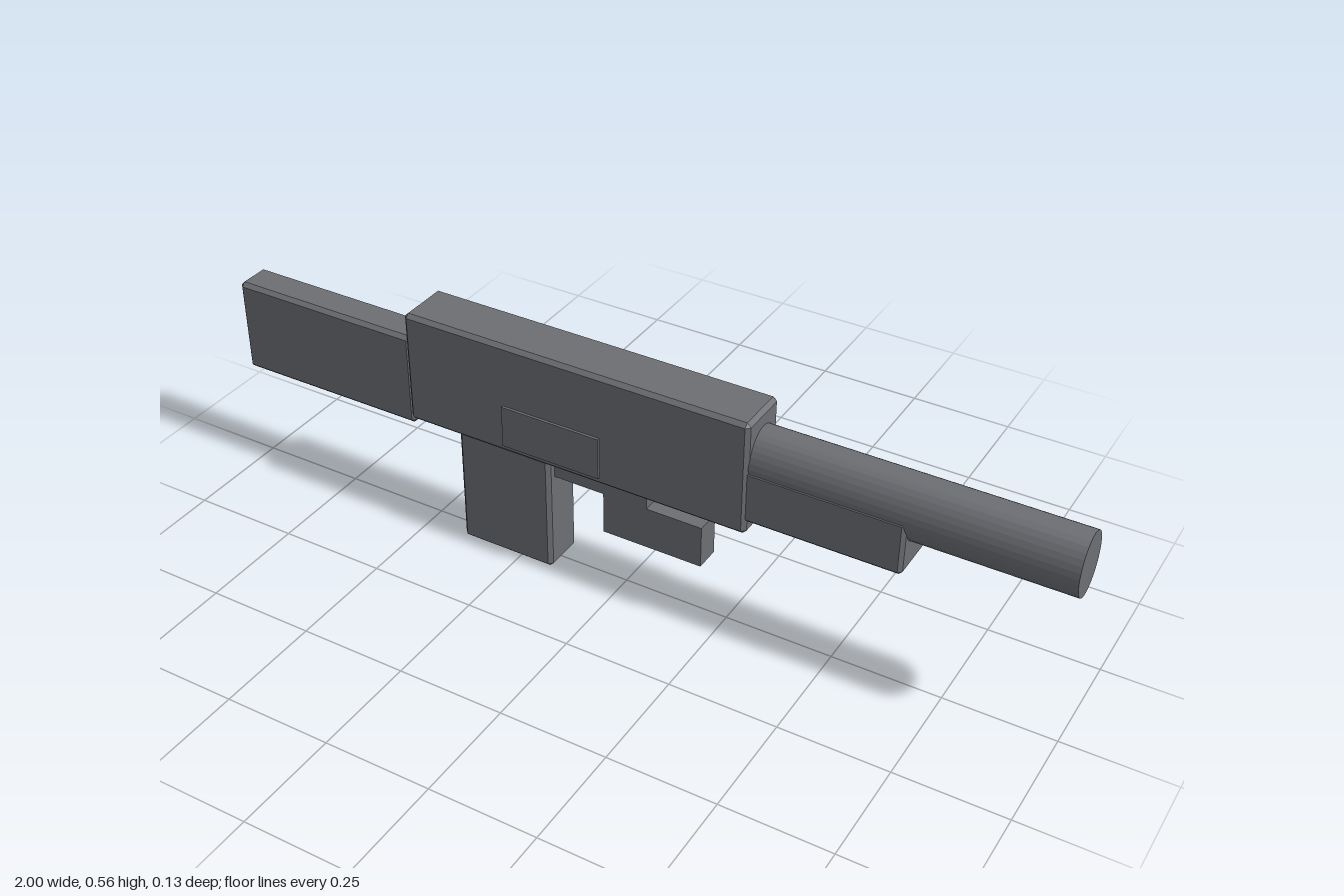
import * as THREE from 'three';
import { ConvexGeometry } from 'three/addons/geometries/ConvexGeometry.js';

const gunmetal = new THREE.MeshStandardMaterial({ color: 0x6c6e73 });
gunmetal.name = 'gunmetal';

const CENTRE_Z = -0.002;

// Box with every edge cut by a flat chamfer; three points stand at each corner
function chamferedBox(w, h, d, c) {
  const points = [];
  for (const x of [-1, 1]) for (const y of [-1, 1]) for (const z of [-1, 1]) {
    for (let axis = 0; axis < 3; axis++) {
      const inset = [c, c, c];
      inset[axis] = 0;
      points.push(new THREE.Vector3(
        x * (w / 2 - inset[0]), y * (h / 2 - inset[1]), z * (d / 2 - inset[2])));
    }
  }
  return new ConvexGeometry(points);
}

export function createModel() {
  const group = new THREE.Group();
  group.name = 'rifle';

  function add(name, geometry, x, y, z = CENTRE_Z) {
    const mesh = new THREE.Mesh(geometry, gunmetal);
    mesh.name = name;
    mesh.position.set(x, y, z);
    group.add(mesh);
    return mesh;
  }

  // Block given by its x and y limits and its depth
  function block(name, x0, x1, y0, y1, depth, chamfer = 0) {
    const w = x1 - x0, h = y1 - y0;
    const geometry = chamfer
      ? chamferedBox(w, h, depth, chamfer)
      : new THREE.BoxGeometry(w, h, depth);
    return add(name, geometry, (x0 + x1) / 2, (y0 + y1) / 2);
  }

  // Main chamfered blocks
  block('receiver', -0.52, 0.315, 0.286, 0.556, 0.128, 0.009);
  block('stock', -1, -0.525, 0.256, 0.481, 0.084, 0.009);
  block('grip', -0.4, -0.165, 0, 0.3, 0.104, 0.009);
  block('handguard', 0.295, 0.655, 0.315, 0.442, 0.116, 0.008);

  // Plain stepped blocks below the receiver
  block('triggerBridge', -0.18, 0.065, 0.238, 0.3, 0.059);
  block('triggerBlock', -0.042, 0.198, 0.137, 0.238, 0.059);

  // Slightly flattened barrel along x
  const barrel = new THREE.CylinderGeometry(1, 1, 0.7, 32).toNonIndexed();
  barrel.rotateZ(-Math.PI / 2);
  barrel.scale(1, 0.0725, 0.057);
  barrel.computeVertexNormals();
  add('barrel', barrel, 0.65, 0.448);

  // Thin plate on the front side of the receiver
  add('sidePlate', new THREE.BoxGeometry(0.24, 0.1, 0.008), -0.15, 0.356, 0.064);

  return group;
}
